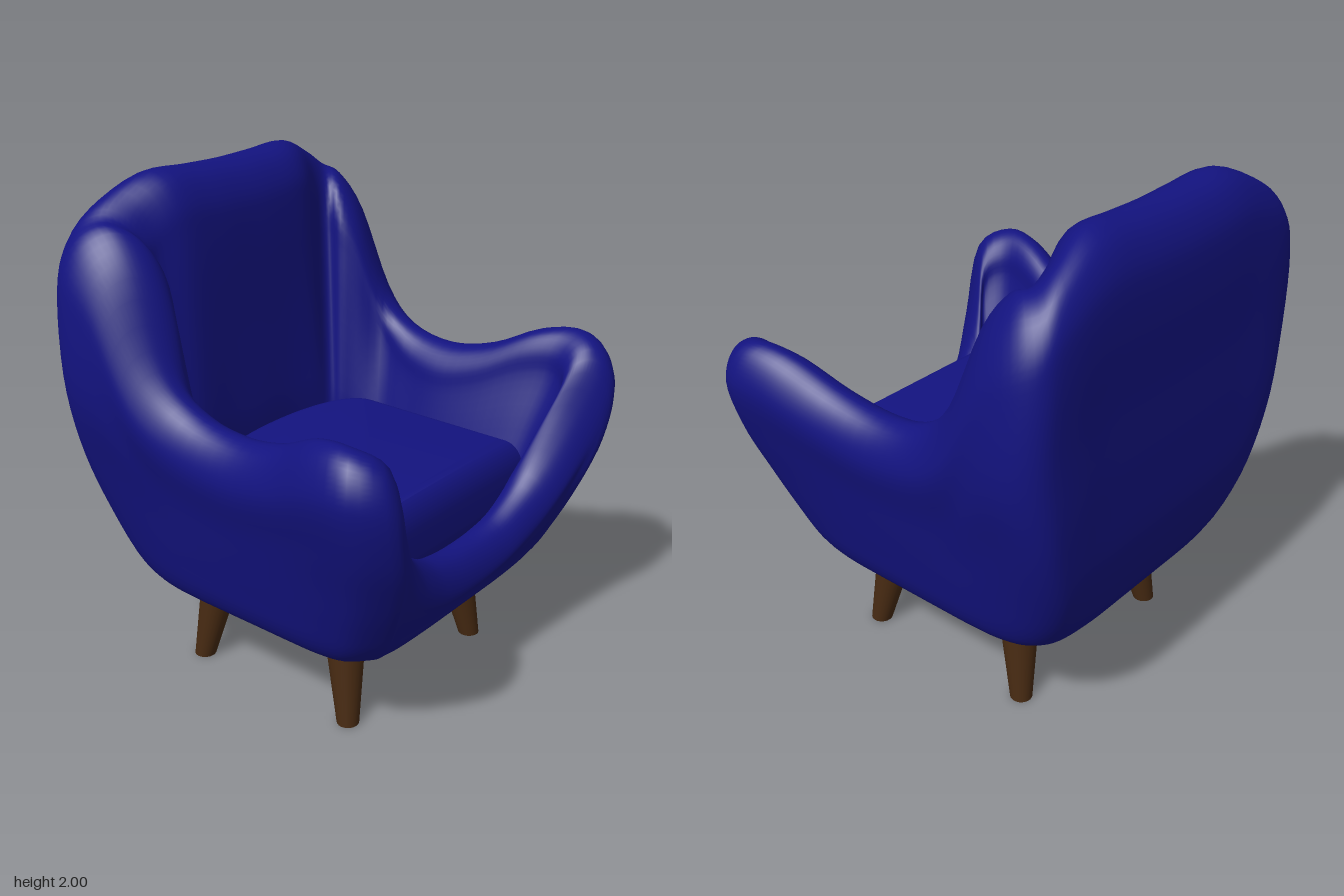
import * as THREE from 'three';
import { mergeVertices, toCreasedNormals } from 'three/addons/utils/BufferGeometryUtils.js';

const V = (x, y, z) => new THREE.Vector3(x, y, z);
const { lerp, clamp } = THREE.MathUtils;
const BASE = 0.345, FLOOR = 0.58;

// Outer footprint by height: [y, half width, front depth, back depth]
const FOOTPRINT = [
  [0.345, 0.50, 0.42, 0.50], [0.38, 0.575, 0.54, 0.61], [0.45, 0.62, 0.61, 0.685],
  [0.6, 0.668, 0.685, 0.757], [0.8, 0.725, 0.757, 0.79], [1.0, 0.785, 0.795, 0.793],
  [1.2, 0.835, 0.793, 0.793], [2.0, 0.835, 0.79, 0.79],
];

// Stations from back centre round the left side to front centre:
// [x and z as a share of the footprint, rim height, rim thickness, floor edge x, z]
const STATIONS = [
  [0, -1, 1.99, 0.32, 0, -0.42],
  [0.22, -1, 1.995, 0.32, 0.17, -0.42],
  [0.5, -1, 2.0, 0.32, 0.32, -0.4],
  [0.76, -1, 1.925, 0.33, 0.37, -0.38],
  [0.89, -0.97, 1.865, 0.37, 0.38, -0.36],
  [0.955, -0.86, 1.83, 0.4, 0.39, -0.34],
  [0.96, -0.68, 1.69, 0.33, 0.42, -0.29],
  [0.95, -0.47, 1.37, 0.25, 0.43, -0.19],
  [0.95, -0.25, 1.235, 0.23, 0.43, -0.09],
  [0.955, 0.05, 1.195, 0.23, 0.43, 0.05],
  [0.97, 0.35, 1.235, 0.23, 0.43, 0.2],
  [1.005, 0.62, 1.325, 0.24, 0.43, 0.34],
  [1.005, 0.85, 1.345, 0.24, 0.43, 0.42],
  [0.88, 0.995, 1.27, 0.22, 0.43, 0.45],
  [0.77, 0.965, 1.04, 0.21, 0.42, 0.45],
  [0.61, 0.945, 0.83, 0.2, 0.37, 0.45],
  [0.39, 0.945, 0.72, 0.19, 0.25, 0.44],
  [0.2, 0.955, 0.68, 0.19, 0.13, 0.44],
  [0, 0.955, 0.67, 0.19, 0, 0.44],
];

// Outer wall; towards the base every station relaxes to one rounded rectangle
function wallPoint(sx, sz, y) {
  let i = 0;
  while (i < FOOTPRINT.length - 2 && y > FOOTPRINT[i + 1][0]) i++;
  const a = FOOTPRINT[i], b = FOOTPRINT[i + 1];
  const t = (y - a[0]) / (b[0] - a[0]);
  const at = (k) => lerp(a[k], b[k], t);
  const n = 6, r = (Math.abs(sx) ** n + Math.abs(sz) ** n) ** (1 / n);
  const round = r ** -(1 - clamp((y - BASE) / 0.6, 0, 1));
  return V(sx * round * at(1), y, sz * round * (sz > 0 ? at(2) : at(3)));
}

// Section from the underside centre, up the outside, over the rim, down to the seat floor
function section([sx, sz, top, thick, fx, fz]) {
  const shoulderY = top - 0.75 * thick;
  const shoulder = wallPoint(sx, sz, shoulderY);
  const inward = V(fx - shoulder.x, 0, fz - shoulder.z).normalize();
  const edge = wallPoint(sx, sz, BASE);
  const pts = [V(0, BASE, 0), V(edge.x / 2, BASE, edge.z / 2), edge, wallPoint(sx, sz, 0.38), wallPoint(sx, sz, 0.45)];
  for (const k of [0.2, 0.45, 0.72]) pts.push(wallPoint(sx, sz, lerp(0.45, shoulderY, k)));
  for (let i = 0; i <= 6; i++) {
    const a = (i / 6) * Math.PI;
    const p = shoulder.clone().addScaledVector(inward, (thick / 2) * (1 - Math.cos(a)));
    p.y = lerp(shoulderY, top, Math.sin(a));
    pts.push(p);
  }
  const inner = pts[pts.length - 1], foot = V(fx, FLOOR, fz);
  for (const k of [0.33, 0.67, 1]) pts.push(inner.clone().lerp(foot, k));
  pts.push(V(0, FLOOR, 0));
  return pts;
}

// Smooth skin through the sections of both halves
function shellGeometry() {
  const NV = 76, NU = 144;
  const half = STATIONS.map((s) => new THREE.CatmullRomCurve3(section(s)).getPoints(NV));
  const mirrored = half.slice(1, -1).reverse().map((row) => row.map((p) => V(-p.x, p.y, p.z)));
  const rows = [...half, ...mirrored];
  const position = [], index = [];
  for (let j = 0; j <= NV; j++) {
    const ring = new THREE.CatmullRomCurve3(rows.map((r) => r[j]), true, 'catmullrom', 0.5);
    for (let i = 0; i < NU; i++) {
      const p = ring.getPoint(i / NU);
      position.push(p.x, p.y, p.z);
      const a = j * NU + i, b = j * NU + ((i + 1) % NU);
      if (j > 0 && j < NV) index.push(a, a + NU, b);
      if (j < NV - 1) index.push(b, a + NU, b + NU);
    }
  }
  const geo = new THREE.BufferGeometry();
  geo.setAttribute('position', new THREE.Float32BufferAttribute(position, 3));
  geo.setIndex(index);
  const welded = mergeVertices(geo, 1e-5);
  welded.computeVertexNormals();
  return welded;
}

// Seat cushion: plan with an arched back, softly bevelled
function cushionGeometry() {
  const bevel = 0.08;
  const w = 0.485 - bevel, front = 0.525 - bevel, back = -0.43 + bevel;
  const plan = new THREE.Shape();
  plan.moveTo(-w, -front);
  plan.lineTo(w, -front);
  plan.lineTo(w, 0.2);
  plan.bezierCurveTo(w, 0.29, 0.25, -back, 0, -back);
  plan.bezierCurveTo(-0.25, -back, -w, 0.29, -w, 0.2);
  const geo = new THREE.ExtrudeGeometry(plan, {
    depth: 0.1, bevelEnabled: true, bevelSize: bevel, bevelThickness: 0.13, bevelSegments: 8, curveSegments: 16,
  });
  geo.rotateX(-Math.PI / 2).translate(0, 0.71, 0);
  return toCreasedNormals(geo, 0.7);
}

// Tapered leg, sheared so that both ends stay level
function legGeometry(topX, topZ, footX, footZ) {
  const h = 0.37;
  const geo = new THREE.CylinderGeometry(0.082, 0.044, h, 24).translate(0, h / 2, 0);
  const p = geo.attributes.position;
  for (let i = 0; i < p.count; i++) {
    const k = p.getY(i) / h;
    p.setX(i, p.getX(i) + lerp(footX, topX, k));
    p.setZ(i, p.getZ(i) + lerp(footZ, topZ, k));
  }
  return toCreasedNormals(geo, 0.7);
}

export function createModel() {
  const model = new THREE.Group();
  model.name = 'armchair';
  const fabric = new THREE.MeshStandardMaterial({ color: 0x131380 });
  const wood = new THREE.MeshStandardMaterial({ color: 0x472a12 });
  const add = (name, geo, mat) => {
    const mesh = new THREE.Mesh(geo, mat);
    mesh.name = name;
    model.add(mesh);
  };

  add('shell', shellGeometry(), fabric);
  add('seatCushion', cushionGeometry(), fabric);

  for (const [side, s] of [['Left', 1], ['Right', -1]]) {
    add('front' + side + 'Leg', legGeometry(0.36 * s, 0.29, 0.416 * s, 0.35), wood);
    add('back' + side + 'Leg', legGeometry(0.36 * s, -0.36, 0.416 * s, -0.42), wood);
  }
  return model;
}
